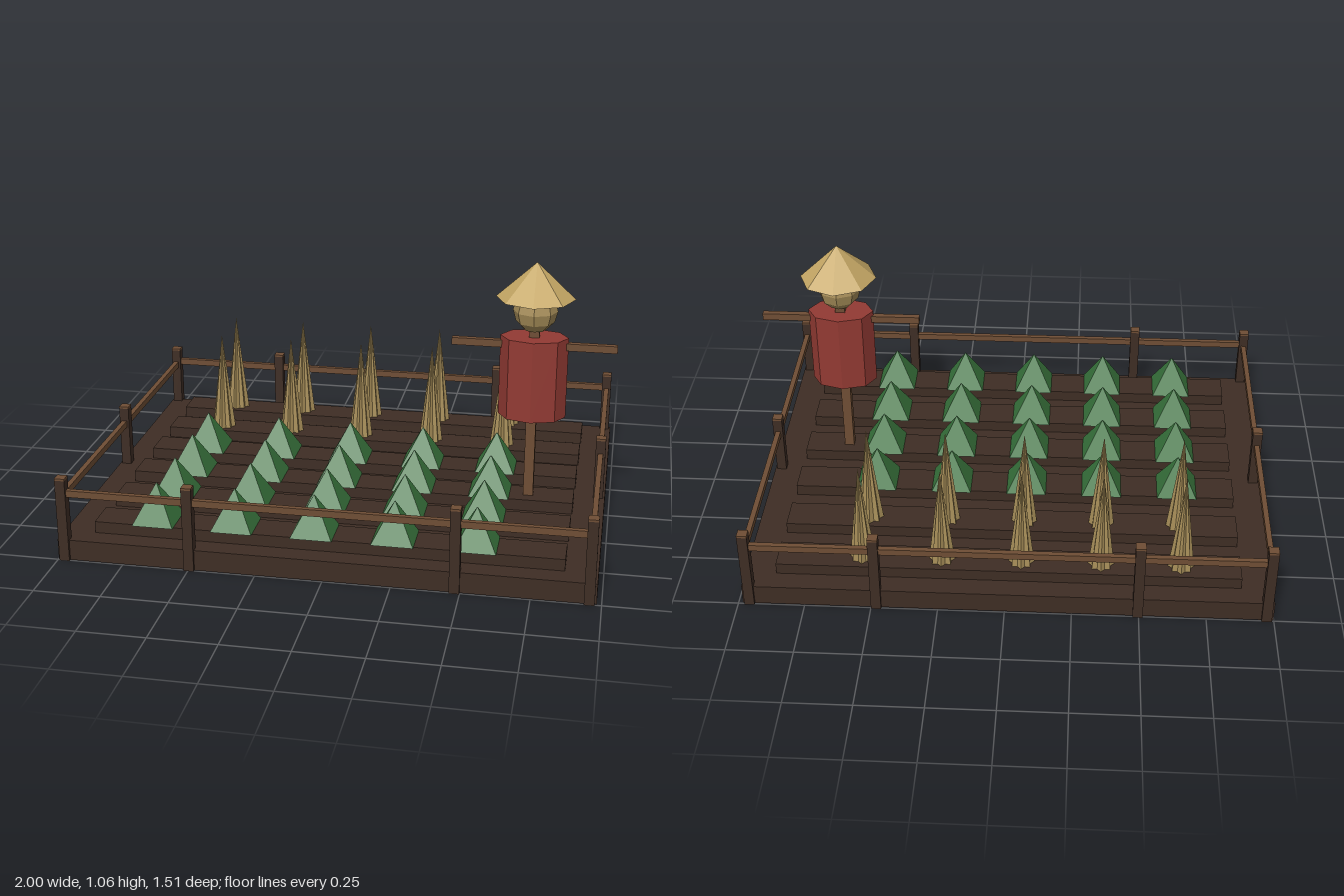
import * as THREE from 'three';

const mat = (name, color) => {
  const m = new THREE.MeshStandardMaterial({ color, flatShading: true });
  m.name = name;
  return m;
};

export function createModel() {
  const root = new THREE.Group();
  root.name = 'farmField';
  const soil = mat('soil', 0x3e2d24);
  const wood = mat('wood', 0x6e4d34);
  const leaf = mat('leaf', 0x39753d);
  const straw = mat('straw', 0xc4a664);
  const cloth = mat('cloth', 0x923a33);
  const sack = mat('sack', 0xa68d58);

  const add = (name, geo, material, x, y, z, parent = root) => {
    const m = new THREE.Mesh(geo, material);
    m.name = name;
    m.position.set(x, y, z);
    parent.add(m);
    return m;
  };
  const box = (name, w, h, d, material, x, y, z, parent) =>
    add(name, new THREE.BoxGeometry(w, h, d), material, x, y, z, parent);

  const CX = -0.008; // centre of the plot
  box('ground', 1.982, 0.08, 1.49, soil, CX, 0.04, 0);

  // Crops: four rows of leafy pyramids, two rows of grain spikes
  const bush = new THREE.ConeGeometry(0.11, 0.15, 4).rotateY(Math.PI / 4);
  const spike = new THREE.ConeGeometry(0.049, 0.41, 16);
  // pinch every second edge inward for a ribbed spike
  const p = spike.attributes.position;
  for (let i = 0; i < p.count; i++) {
    const a = Math.atan2(p.getX(i), p.getZ(i));
    const k = Math.abs(Math.round(a / (Math.PI / 8))) % 2 ? 0.75 : 1;
    p.setX(i, p.getX(i) * k);
    p.setZ(i, p.getZ(i) * k);
  }
  for (let r = 0; r < 6; r++) {
    const z = 0.6 - r * 0.24;
    box('plantingRow', 1.745, 0.05, 0.13, soil, CX, 0.1, z);
    for (let c = 0; c < 5; c++) {
      const x = -0.655 + c * 0.299;
      if (r < 4) add('bush', bush, leaf, x, 0.2, z);
      else add('grainSpike', spike, sack, x, 0.33, z);
    }
  }

  // Fence
  const fence = new THREE.Group();
  fence.name = 'fence';
  root.add(fence);
  const post = (x, z) => {
    box('post', 0.038, 0.322, 0.038, soil, CX + x, 0.161, z, fence);
    box('postTop', 0.038, 0.008, 0.038, wood, CX + x, 0.326, z, fence);
  };
  for (const s of [-1, 1]) {
    for (const x of [-0.965, -0.488, 0.488, 0.965]) post(x, s * 0.737);
    post(s * 0.965, 0);
    box('longRail', 1.95, 0.026, 0.02, wood, CX, 0.268, s * 0.737, fence);
    box('sideRail', 0.02, 0.026, 1.48, wood, CX + s * 0.965, 0.256, 0, fence);
  }

  // Scarecrow
  const crow = new THREE.Group();
  crow.name = 'scarecrow';
  crow.position.set(0.69, 0, 0.12);
  root.add(crow);
  box('pole', 0.038, 0.74, 0.038, wood, 0, 0.45, 0, crow);
  box('arms', 0.62, 0.028, 0.024, wood, 0, 0.735, 0, crow);
  add('shirt', new THREE.CylinderGeometry(0.128, 0.128, 0.316, 8).scale(1, 1, 0.69), cloth, 0, 0.61, 0, crow);
  add('head', new THREE.SphereGeometry(0.084, 8, 6), sack, 0, 0.87, 0, crow);
  add('hat', new THREE.ConeGeometry(0.148, 0.137, 8), straw, 0, 0.988, 0, crow);

  return root;
}
